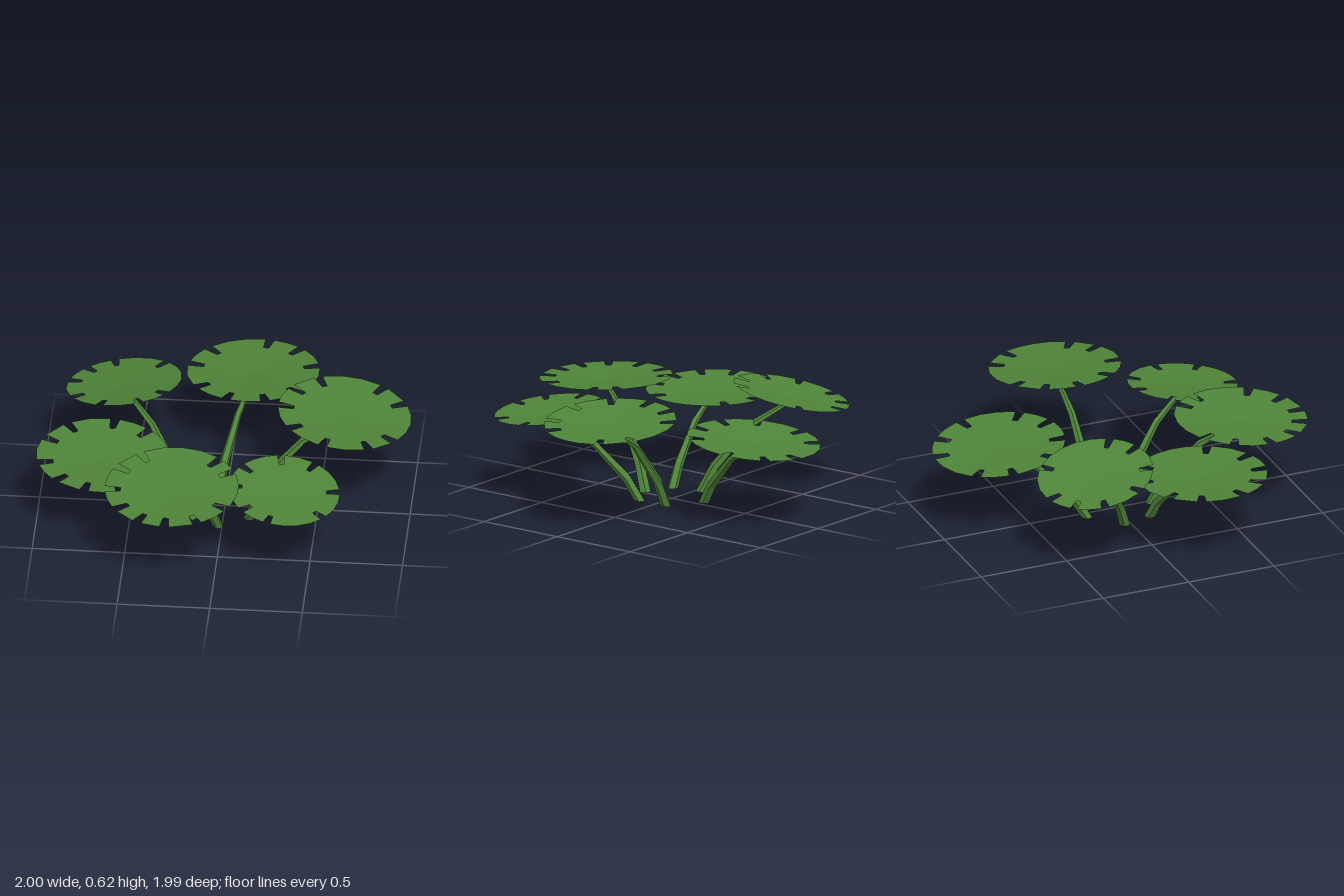
import * as THREE from 'three';

const RAD = Math.PI / 180;

// One entry per leaf: centre, radius, rim height, slopes along x and z,
// notch angles (degrees from +x towards +z), and stalk foot and tip height.
const PLANTS = [
  { name: 'back', x: 0.10, z: -0.64, r: 0.36, y: 0.455, a: 0.02, b: 0.10, foot: [-0.045, -0.185], tip: 0.41,
    notches: [-80, -48, -12, 42, 75, 110, 145, 190, 223] },
  { name: 'left', x: 0.64, z: -0.08, r: 0.36, y: 0.58, a: -0.10, b: 0.01, foot: [0.14, -0.07], tip: 0.53,
    notches: [-58, -28, 37, 64, 105, 143, 180, 212, 242] },
  { name: 'frontLeft', x: 0.365, z: 0.55, r: 0.30, y: 0.482, a: -0.08, b: -0.09, foot: [0.14, 0.11], tip: 0.44,
    notches: [-60, -8, 40, 104, 137, 180, 215, 262] },
  { name: 'front', x: -0.235, z: 0.635, r: 0.362, y: 0.528, a: 0.02, b: -0.05, foot: [-0.02, 0.20], tip: 0.49,
    notches: [-48, -26, 30, 63, 92, 117, 144, 175, 209, 237] },
  { name: 'right', x: -0.64, z: 0.23, r: 0.36, y: 0.443, a: -0.02, b: 0, foot: [-0.17, 0.13], tip: 0.41,
    notches: [-84, -50, 28, 70, 102, 131, 163, 203, 233] },
  { name: 'backRight', x: -0.575, z: -0.365, r: 0.313, y: 0.527, a: 0.135, b: 0.17, foot: [-0.21, -0.035], tip: 0.485,
    notches: [-104, -47, 38, 70, 111, 150, 193, 225] },
];

// Rim outline as [angle, radius factor], cut by narrow notches
function leafRim(notches) {
  const list = [...notches].sort((p, q) => p - q);
  const rim = [];
  list.forEach((t, i) => {
    rim.push([t - 4, 1], [t - 3, 0.76], [t + 3, 0.76], [t + 4, 1]);
    const next = i + 1 < list.length ? list[i + 1] : list[0] + 360;
    const span = next - t - 8;
    const steps = Math.max(1, Math.round(span / 15));
    for (let k = 1; k < steps; k++) rim.push([t + 4 + (span * k) / steps, 1]);
  });
  return rim;
}

// Shallow dished leaf: a fan from the centre to the notched rim
function leafGeometry(p) {
  const dip = 0.02;
  const verts = [p.x, p.y - dip, p.z];
  const index = [];
  const rim = leafRim(p.notches);
  rim.forEach(([deg, f], i) => {
    const dx = Math.cos(deg * RAD) * p.r * f;
    const dz = Math.sin(deg * RAD) * p.r * f;
    verts.push(p.x + dx, p.y + p.a * dx + p.b * dz - dip * (1 - f), p.z + dz);
    index.push(0, ((i + 1) % rim.length) + 1, i + 1);
  });
  const g = new THREE.BufferGeometry();
  g.setAttribute('position', new THREE.Float32BufferAttribute(verts, 3));
  g.setIndex(index);
  const flat = g.toNonIndexed();
  flat.computeVertexNormals();
  return flat;
}

// Tapered five-sided stalk bending outwards over four rings
function stalkGeometry(p) {
  const sides = 5;
  const reach = [0, 0.15, 0.55, 1];
  const rise = [0, 0.28, 0.74, 1];
  const radius = [0.031, 0.027, 0.02, 0.012];
  const [fx, fz] = p.foot;
  const path = reach.map((t, i) => new THREE.Vector3(
    fx + (p.x - fx) * t, p.tip * rise[i], fz + (p.z - fz) * t));
  const side = new THREE.Vector3(p.z - fz, 0, fx - p.x).normalize();
  const verts = [];
  const index = [];
  path.forEach((c, i) => {
    const dir = path[Math.min(i + 1, 3)].clone().sub(path[Math.max(i - 1, 0)]).normalize();
    if (i === 0) dir.set(0, 1, 0); // foot lies flat on the ground
    const across = new THREE.Vector3().crossVectors(dir, side).normalize();
    for (let k = 0; k < sides; k++) {
      const t = (k / sides) * Math.PI * 2;
      const v = c.clone()
        .addScaledVector(side, Math.cos(t) * radius[i])
        .addScaledVector(across, Math.sin(t) * radius[i]);
      verts.push(v.x, v.y, v.z);
      if (i < 3) {
        const A = i * sides + k, B = i * sides + ((k + 1) % sides);
        index.push(A, B, B + sides, A, B + sides, A + sides);
      }
    }
  });
  // end caps
  for (let k = 1; k < sides - 1; k++) {
    index.push(0, k + 1, k);
    index.push(3 * sides, 3 * sides + k, 3 * sides + k + 1);
  }
  const g = new THREE.BufferGeometry();
  g.setAttribute('position', new THREE.Float32BufferAttribute(verts, 3));
  g.setIndex(index);
  const flat = g.toNonIndexed();
  flat.computeVertexNormals();
  return flat;
}

export function createModel() {
  const model = new THREE.Group();
  model.name = 'lilyPads';
  const green = new THREE.MeshStandardMaterial({ color: 0x4f8539, side: THREE.DoubleSide });
  green.name = 'leafGreen';

  for (const p of PLANTS) {
    const plant = new THREE.Group();
    plant.name = p.name + 'Plant';
    const leaf = new THREE.Mesh(leafGeometry(p), green);
    leaf.name = p.name + 'Leaf';
    const stalk = new THREE.Mesh(stalkGeometry(p), green);
    stalk.name = p.name + 'Stalk';
    plant.add(leaf, stalk);
    model.add(plant);
  }
  return model;
}
